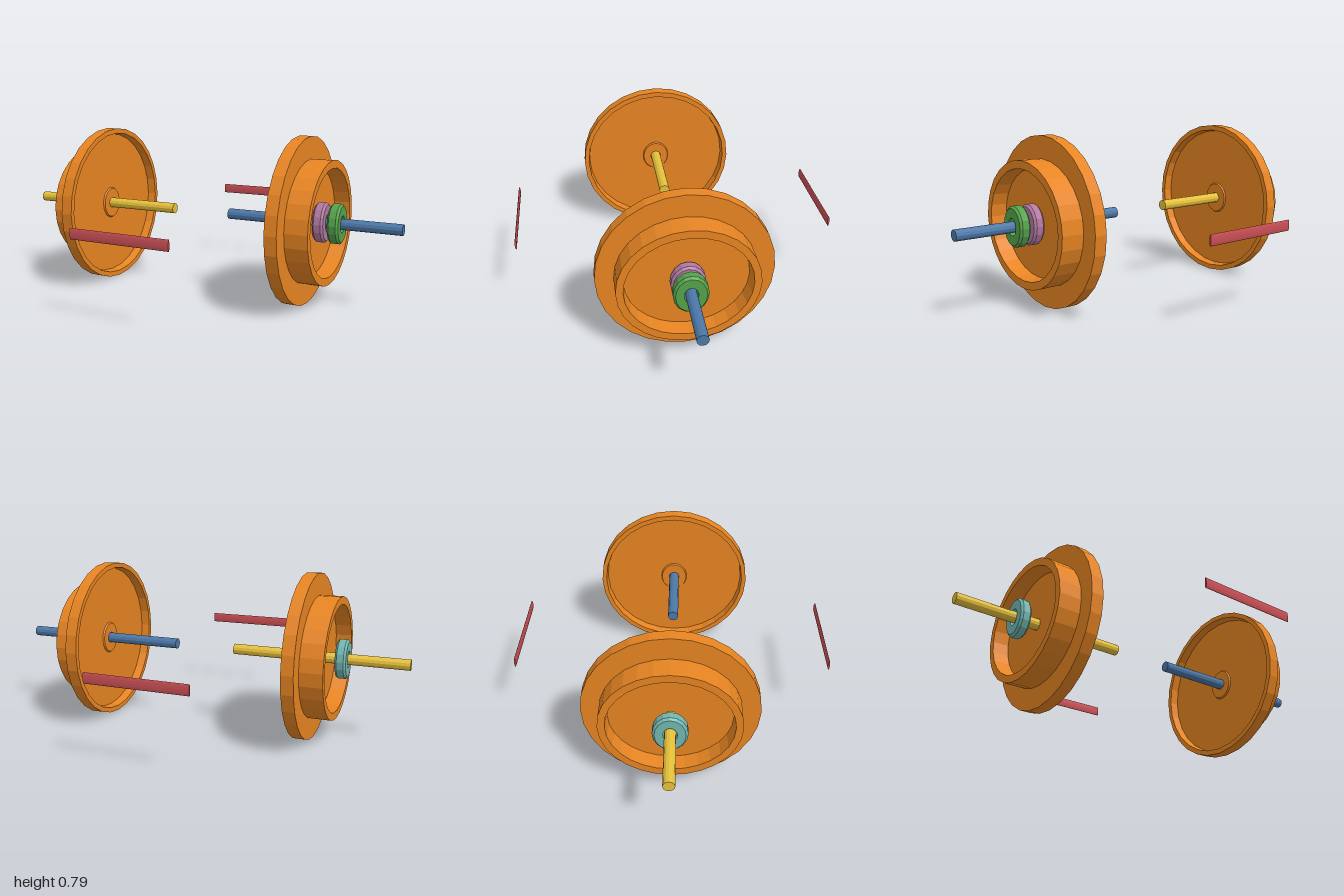
import * as THREE from 'three';

const mat = (name, color) => {
  const m = new THREE.MeshStandardMaterial({ color, flatShading: true });
  m.name = name;
  return m;
};

// Skin over oval rings [x, yRadius, zRadius] along the x axis
function loft(rings, sides) {
  const pos = [], index = [];
  for (const [x, ry, rz] of rings) {
    for (let j = 0; j < sides; j++) {
      const a = (j / sides) * Math.PI * 2;
      pos.push(x, ry * Math.cos(a), rz * Math.sin(a));
    }
  }
  for (let i = 0; i < rings.length - 1; i++) {
    for (let j = 0; j < sides; j++) {
      const k = (j + 1) % sides;
      const a = i * sides + j, b = i * sides + k;
      index.push(a, b, b + sides, a, b + sides, a + sides);
    }
  }
  const g = new THREE.BufferGeometry();
  g.setAttribute('position', new THREE.Float32BufferAttribute(pos, 3));
  g.setIndex(index);
  g.computeVertexNormals();
  return g;
}

// Solid rod between two x positions
const rod = (x0, x1, ry, rz, sides) =>
  loft([[x0, 0, 0], [x0, ry, rz], [x1, ry, rz], [x1, 0, 0]], sides);

// Chamfered oval collar with a loose bore
function collar(x0, x1) {
  const c = 0.01;
  return loft([
    [x0, 0.04, 0.031], [x0, 0.084, 0.068], [x0 + c, 0.094, 0.078],
    [x1 - c, 0.094, 0.078], [x1, 0.084, 0.068], [x1, 0.04, 0.031], [x0, 0.04, 0.031],
  ], 16);
}

export function createModel() {
  const model = new THREE.Group();
  const orange = mat('wheel orange', 0xf08a24);
  const blue = mat('axle blue', 0x4c78a8);
  const yellow = mat('axle yellow', 0xe8c23c);
  const green = mat('collar green', 0x54a24b);
  const teal = mat('collar teal', 0x72b7b2);
  const purple = mat('washer purple', 0xb279a2);
  const red = mat('bar red', 0xc94f55);

  const add = (name, geometry, material, parent = model) => {
    const mesh = new THREE.Mesh(geometry, material);
    mesh.name = name;
    parent.add(mesh);
    return mesh;
  };

  // Wheel: inner boss, shallow inner dish, flange, tread, deep outer recess, bore
  const wheel = loft([
    [0.543, 0.027, 0.027], [0.543, 0.075, 0.066], [0.551, 0.08, 0.07],
    [0.551, 0.365, 0.37], [0.507, 0.37, 0.375], [0.507, 0.395, 0.398],
    [0.565, 0.395, 0.398], [0.565, 0.29, 0.315], [0.672, 0.29, 0.315],
    [0.672, 0.253, 0.282], [0.597, 0.248, 0.276], [0.597, 0.027, 0.027],
    [0.543, 0.027, 0.027],
  ], 28);
  const axle = rod(0.155, 1, 0.026, 0.026, 12);

  // Both wheel sets; the right one is turned half round
  for (const [side, turn, axleMat] of [['left', 0, blue], ['right', Math.PI, yellow]]) {
    const set = new THREE.Group();
    set.name = side + 'WheelSet';
    set.position.y = 0.4;
    set.rotation.y = turn;
    add(side + 'Wheel', wheel, orange, set);
    add(side + 'Axle', axle, axleMat, set);
    if (side === 'left') {
      add('leftWasher', collar(0.602, 0.654), purple, set);
      add('leftCollar', collar(0.672, 0.725), green, set);
    } else {
      add('rightCollar', collar(0.666, 0.718), teal, set);
    }
    model.add(set);
  }

  // Thin side bars
  const bar = rod(-0.24, 0.25, 0.025, 0.005, 12);
  for (const [name, z] of [['frontBar', 0.743], ['backBar', -0.746]]) {
    add(name, bar, red).position.set(0, 0.4, z);
  }
  return model;
}
